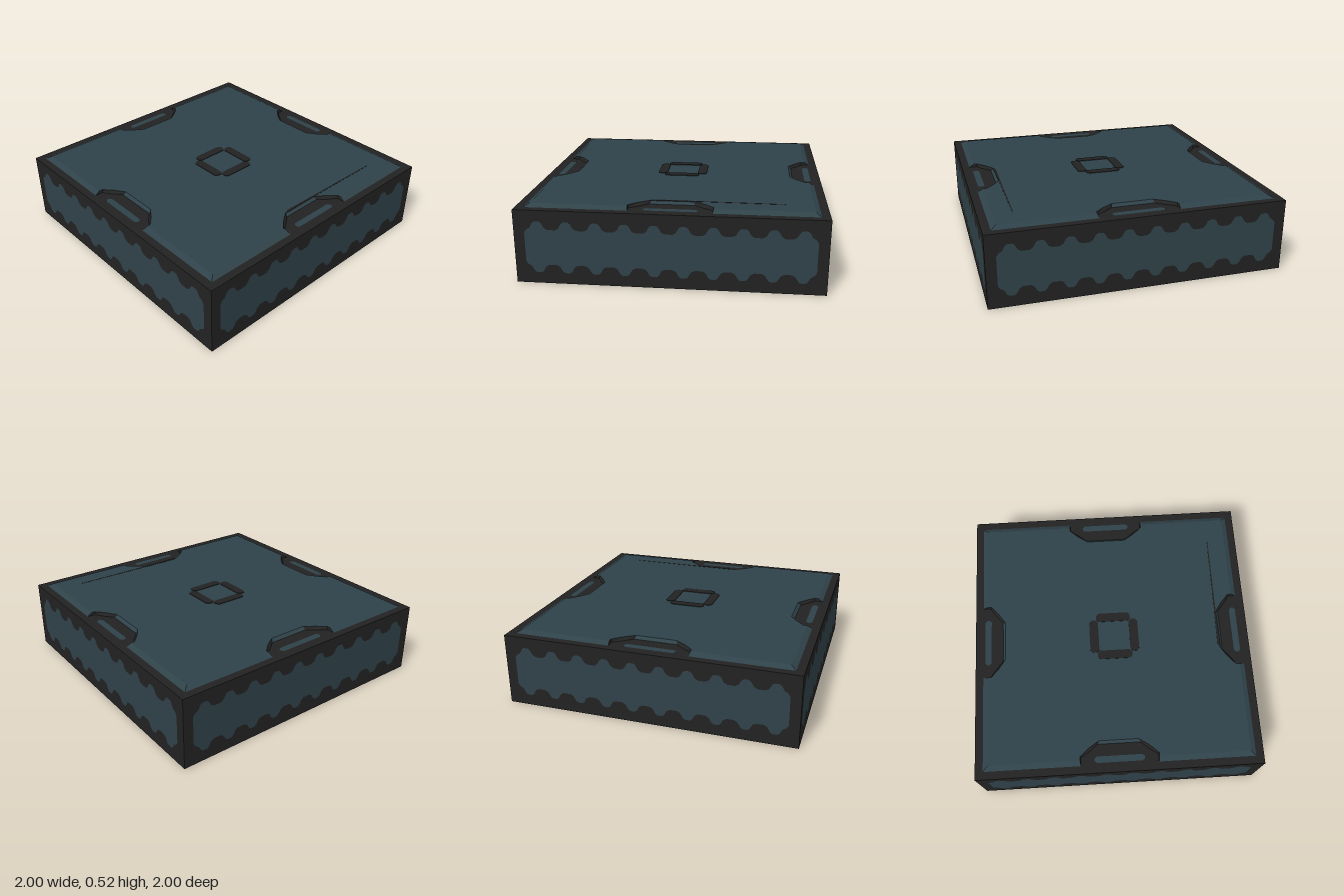
import * as THREE from 'three';

const black = new THREE.MeshStandardMaterial({ name: 'charcoal', color: 0x222222, side: THREE.DoubleSide });
const blue = new THREE.MeshStandardMaterial({ name: 'slateBlue', color: 0x2f4249, side: THREE.DoubleSide });

const RIM = 0.5, LID = 0.52;

const vec = ([x, y]) => new THREE.Vector2(x, y);

function mesh(name, geometry, material) {
  const m = new THREE.Mesh(geometry, material);
  m.name = name;
  return m;
}

// Quarter turns in the plan, where plan y is -z
function turn([x, y], k) {
  for (let i = 0; i < k; i++) [x, y] = [-y, x];
  return [x, y];
}

// Flat sheet lying at height h
function sheet(points, h, holes = []) {
  const shape = new THREE.Shape(points.map(vec));
  shape.holes = holes.map((p) => new THREE.Path(p.map(vec)));
  return new THREE.ShapeGeometry(shape).rotateX(-Math.PI / 2).translate(0, h, 0);
}

// Thin plate lying on and just through height h
function plate(points, h, t = 0.008) {
  return new THREE.ExtrudeGeometry(new THREE.Shape(points.map(vec)), { depth: t, bevelEnabled: false })
    .rotateX(-Math.PI / 2).translate(0, h - t / 2, 0);
}

// Rectangle with clipped corners
function clipped(x0, x1, y0, y1, c) {
  return [[x0 + c, y0], [x1 - c, y0], [x1, y0 + c], [x1, y1 - c],
    [x1 - c, y1], [x0 + c, y1], [x0, y1 - c], [x0, y0 + c]];
}

// Scalloped outline of the side panels
function scallopedOutline() {
  const notch = [[-0.07, 0.37], [-0.048, 0.382], [-0.03, 0.414], [-0.016, 0.425],
    [0.016, 0.425], [0.03, 0.414], [0.048, 0.382], [0.07, 0.37]];
  const upper = [[-0.93, 0.348]];
  for (let i = 0; i < 10; i++) {
    for (const [x, y] of notch) upper.push([(i - 4.5) * 0.188 + x, y]);
  }
  upper.push([0.93, 0.348]);
  const lower = upper.map(([x, y]) => [x, 0.5 - y]);
  return [...lower, ...upper.reverse()];
}

// Lid outline with a grip recess on each side; half of one side is given
function lidLoop(half) {
  const side = [...half, ...half.slice(1).reverse().map(([x, y]) => [-x, y])];
  return [0, 1, 2, 3].flatMap((k) => side.map((p) => turn(p, k)));
}

// Sloped band joining the two lid outlines, for the chosen segments
function slope(low, high, keep) {
  const pos = [];
  const at = ([x, y], h) => [x, h, -y];
  low.forEach((a, i) => {
    if (!keep(i % 9)) return;
    const j = (i + 1) % low.length;
    const A = at(a, RIM), B = at(low[j], RIM), C = at(high[j], LID), D = at(high[i], LID);
    pos.push(...A, ...B, ...C, ...A, ...C, ...D);
  });
  const g = new THREE.BufferGeometry();
  g.setAttribute('position', new THREE.Float32BufferAttribute(pos, 3));
  g.computeVertexNormals();
  return g;
}

export function createModel() {
  const model = new THREE.Group();
  model.name = 'openBottomCrateTop';

  // Four side walls
  const outline = scallopedOutline();
  const frame = new THREE.Shape([[-1, 0], [1, 0], [1, RIM], [-1, RIM]].map(vec));
  frame.holes.push(new THREE.Path(outline.map(vec)));
  const frameGeo = new THREE.ShapeGeometry(frame).translate(0, 0, 1);
  const panelGeo = new THREE.ShapeGeometry(new THREE.Shape(outline.map(vec))).translate(0, 0, 1);
  for (let k = 0; k < 4; k++) {
    const wall = new THREE.Group();
    wall.name = 'sideWall';
    wall.add(mesh('wallFrame', frameGeo, black), mesh('wallPanel', panelGeo, blue));
    wall.rotation.y = k * Math.PI / 2;
    model.add(wall);
  }

  // Top rim with grip slots
  const low = lidLoop([[-0.945, -0.945], [-0.27, -0.945], [-0.27, -0.89], [-0.21, -0.85], [-0.15, -0.8]]);
  const high = lidLoop([[-0.91, -0.91], [-0.275, -0.91], [-0.275, -0.885], [-0.215, -0.83], [-0.14, -0.78]]);
  const slot = clipped(-0.175, 0.175, -0.93, -0.885, 0.015);
  const slots = [0, 1, 2, 3].map((k) => slot.map((p) => turn(p, k)));
  model.add(mesh('topRim', sheet([[-1, -1], [1, -1], [1, 1], [-1, 1]], RIM, [low, ...slots]), black));
  for (const s of slots) model.add(mesh('gripSlot', sheet(s, RIM), blue));

  // Raised lid, its bevels and the dark sides of the grip recesses
  const isGripSide = (i) => [1, 2, 3, 5, 6, 7].includes(i);
  model.add(mesh('lidPanel', sheet(high, LID), blue));
  model.add(mesh('lidBevel', slope(low, high, (i) => !isGripSide(i)), blue));
  model.add(mesh('gripSides', slope(low, high, isGripSide), black));

  // Centre emblem: four bars meeting at their corners
  const bar = clipped(-0.125, 0.125, -0.178, -0.113, 0.018);
  for (let k = 0; k < 4; k++) {
    const pts = bar.map((p) => turn(p, k)).map(([x, y]) => [x - 0.005, y - 0.015]);
    model.add(mesh('centreBar', plate(pts, LID), black));
  }

  // Thin dark streak beside the front grip
  const streak = [[-0.14, -0.785], [0.1, -0.782], [0.73, -0.783], [0.73, -0.777], [0.15, -0.77], [-0.11, -0.765]];
  model.add(mesh('lidStreak', plate(streak, LID, 0.003), black));

  return model;
}
